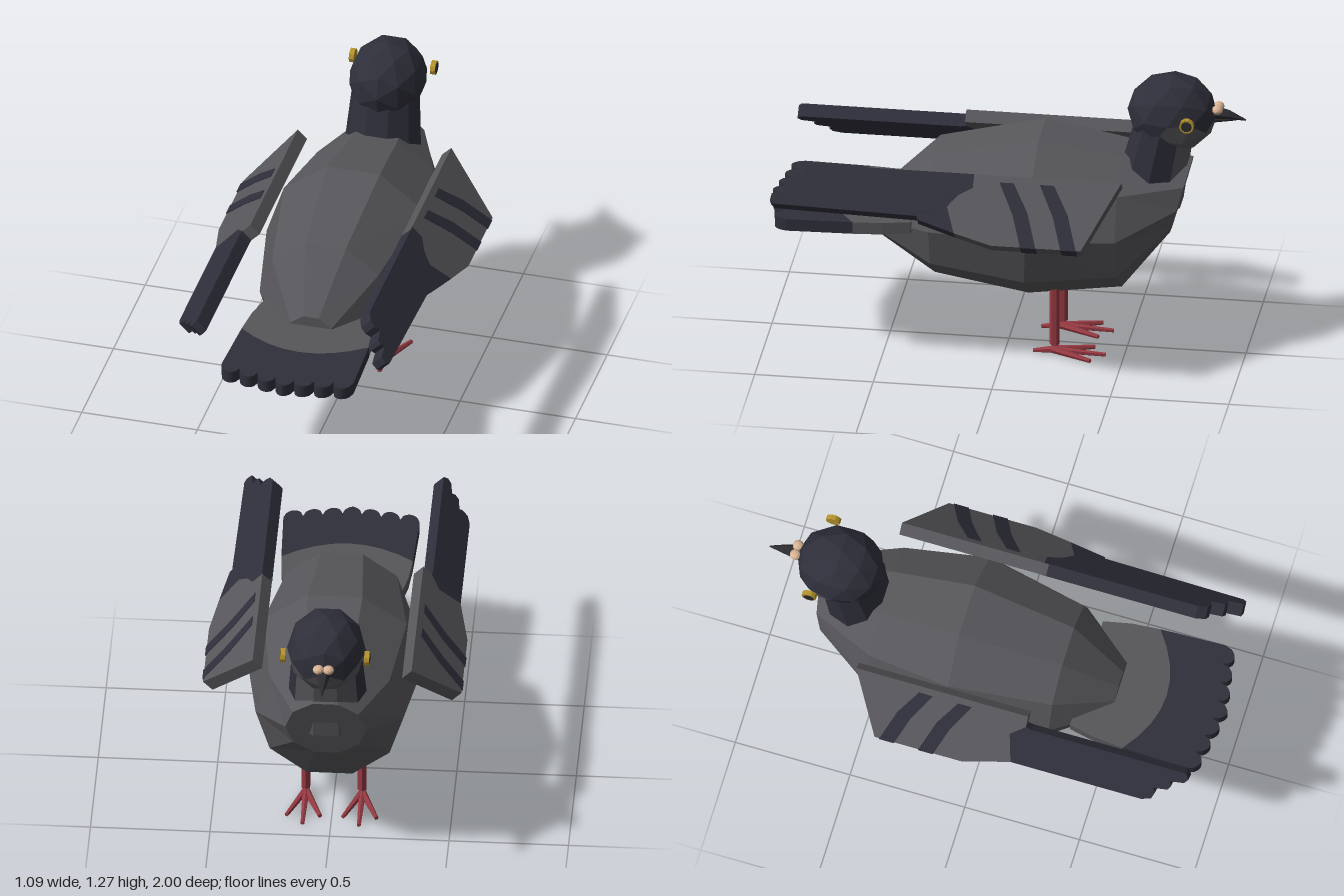
import * as THREE from 'three';

const mat = (name, color) => {
  const m = new THREE.MeshStandardMaterial({ color, flatShading: true });
  m.name = name;
  return m;
};

export function createModel() {
  const grey = mat('slate grey', 0x57565a);
  const navy = mat('dark navy', 0x2f2f3b);
  const dark = mat('charcoal', 0x2b2b30);
  const red = mat('leg red', 0x963a42);
  const yellow = mat('eye yellow', 0xb5942c);
  const cream = mat('cere cream', 0xd9b394);

  const bird = new THREE.Group();
  bird.name = 'bird';
  const add = (name, geo, material, parent = bird) => {
    const m = new THREE.Mesh(geo, material);
    m.name = name;
    parent.add(m);
    return m;
  };

  // Closed skin over elliptical rings running from -z to +z
  // ring: [z, centre y, radius x, radius y, forward lean per unit of height]
  const loft = (rings, n) => {
    const pts = rings.map(([z, cy, rx, ry, lean = 0]) => Array.from({ length: n }, (_, i) => {
      const t = (i / n) * Math.PI * 2, dy = ry * Math.sin(t);
      return [rx * Math.cos(t), cy + dy, z - lean * dy];
    }));
    const out = [];
    for (let r = 0; r < rings.length - 1; r++) {
      for (let i = 0; i < n; i++) {
        const j = (i + 1) % n;
        const a = pts[r][i], b = pts[r][j], c = pts[r + 1][j], d = pts[r + 1][i];
        out.push(...a, ...b, ...c, ...a, ...c, ...d);
      }
    }
    const first = pts[0], last = pts[pts.length - 1];
    for (let i = 1; i < n - 1; i++) {
      out.push(...first[0], ...first[i + 1], ...first[i]);
      out.push(...last[0], ...last[i], ...last[i + 1]);
    }
    const g = new THREE.BufferGeometry();
    g.setAttribute('position', new THREE.Float32BufferAttribute(out, 3));
    g.computeVertexNormals();
    return g;
  };

  // Tapered rod between two points
  const rod = (p, q, r1, r2, sides = 6) => {
    const a = new THREE.Vector3(...p), b = new THREE.Vector3(...q), d = b.clone().sub(a);
    const g = new THREE.CylinderGeometry(r2, r1, d.length(), sides);
    g.applyQuaternion(new THREE.Quaternion().setFromUnitVectors(new THREE.Vector3(0, 1, 0), d.normalize()));
    return g.translate(...a.add(b).multiplyScalar(0.5).toArray());
  };

  const slab = (points, depth) => new THREE.ExtrudeGeometry(
    new THREE.Shape(points.map(([x, y]) => new THREE.Vector2(x, y))), { depth, bevelEnabled: false });

  // Body
  add('body', loft([
    [-0.73, 0.72, 0.17, 0.16, 0.27],
    [-0.49, 0.62, 0.31, 0.315],
    [-0.12, 0.625, 0.37, 0.37, 0.06],
    [0.30, 0.605, 0.285, 0.29],
    [0.53, 0.565, 0.11, 0.11],
  ], 10), grey);

  // Neck, with a grey throat strip in front
  const neck = (name, start, length, segs, material) => {
    const g = new THREE.CylinderGeometry(0.145, 0.175, 0.39, segs, 1, true, start, length);
    const p = g.attributes.position;
    for (let i = 0; i < p.count; i++) p.setZ(i, p.getZ(i) * 0.9 - 0.21 * p.getY(i));
    add(name, g, material).position.set(0, 0.875, -0.62);
  };
  neck('neck', -0.7 * Math.PI, 1.4 * Math.PI, 7, navy);
  neck('throat', 0.7 * Math.PI, 0.6 * Math.PI, 3, grey);

  // Head, with grey cheeks and chin as material groups
  const headGeo = new THREE.IcosahedronGeometry(1, 1);
  const hp = headGeo.attributes.position;
  for (let i = 0; i < hp.count; i += 3) {
    const y = (hp.getY(i) + hp.getY(i + 1) + hp.getY(i + 2)) / 3;
    const z = (hp.getZ(i) + hp.getZ(i + 1) + hp.getZ(i + 2)) / 3;
    headGeo.addGroup(i, 3, y < -0.15 && z < 0.1 ? 1 : 0);
  }
  headGeo.scale(0.165, 0.17, 0.19);
  add('head', headGeo, [navy, grey]).position.set(0, 1.1, -0.69);

  // Beak and cere
  add('upperBeak', loft([[-1, 1.08, 0.003, 0.003], [-0.93, 1.1, 0.022, 0.018], [-0.84, 1.11, 0.04, 0.03]], 6), dark);
  add('lowerBeak', loft([[-0.96, 1.08, 0.004, 0.004], [-0.84, 1.08, 0.032, 0.02]], 6), dark);
  for (const s of [-1, 1]) {
    const cere = add('cere', new THREE.IcosahedronGeometry(0.024, 1), cream);
    cere.scale.set(1, 0.8, 1);
    cere.position.set(s * 0.021, 1.128, -0.882);
  }

  // Eyes: yellow discs with dark pupils
  for (const s of [-1, 1]) {
    add('eyeRing', rod([s * 0.165, 1.12, -0.775], [s * 0.186, 1.12, -0.775], 0.031, 0.031, 10), yellow);
    add('pupil', rod([s * 0.18, 1.12, -0.775], [s * 0.188, 1.12, -0.775], 0.023, 0.023, 10), dark);
  }

  // Legs and feet
  for (const s of [-1, 1]) {
    const leg = new THREE.Group();
    leg.name = 'leg';
    leg.position.set(s * 0.118, 0, -0.21);
    bird.add(leg);
    add('shin', rod([0, 0.045, 0], [0, 0.32, 0], 0.021, 0.021), red, leg);
    for (const [x, z] of [[0, -0.215], [-0.07, -0.16], [0.07, -0.16], [0, 0.09]]) {
      add('toe', rod([0, 0.02, 0.01], [x, 0.01, z], 0.016, 0.009), red, leg);
    }
  }

  // Tail fan: grey base and scalloped navy end
  const edge = [], band = [];
  for (let i = 0; i <= 56; i++) {
    const x = 0.285 - (0.57 * i) / 56;
    const scallop = Math.abs(Math.sin((i / 56) * Math.PI * 7));
    edge.push([x, 0.9 + 0.05 * (1 - Math.abs(x) / 0.285) + 0.045 * Math.sqrt(scallop)]);
  }
  for (let i = 0; i <= 8; i++) {
    const x = -0.275 + (0.55 * i) / 8;
    band.push([x, 0.73 - 0.11 * (x / 0.275) ** 2]);
  }
  const tail = (name, pts, m) =>
    add(name, slab(pts, 0.053).rotateX(Math.PI / 2), m).position.y = 0.625;
  tail('tailBase', [[-0.265, 0.5], [-0.24, 0.38], [0.24, 0.38], [0.265, 0.5], ...[...band].reverse()], grey);
  tail('tailEnd', [...band, ...edge], navy);

  // Wings: slanted slabs; outlines are [distance down the slope, z]
  const wing = (s, name, x0, y0, w, outline) => {
    const g = new THREE.Group();
    g.name = name;
    bird.add(g);
    const u = new THREE.Vector3(s * 0.7, -0.714, 0), v = new THREE.Vector3(0, 0, 1);
    g.matrixAutoUpdate = true;
    g.quaternion.setFromRotationMatrix(new THREE.Matrix4().makeBasis(u, v, u.clone().cross(v)));
    g.position.set(s * x0, y0, 0);
    const plate = (part, pts, m, grow = 0) => {
      const geo = slab(pts, 0.056 + 2 * grow);
      geo.translate(0, 0, (s > 0 ? 0 : -0.056) - grow);
      add(part, geo, m, g);
    };
    plate('wingCovert', outline.covert, grey);
    plate('wingRear', outline.rear, navy);
    plate('flightFeathers', outline.feathers, navy, 0.001);
    for (const z of [-0.04, -0.21]) {
      const e = w + 0.003;
      plate('wingBar', [[0.03, z - 0.03], [e * 0.5, z - 0.1], [e, z - 0.15],
        [e, z - 0.085], [e * 0.55, z - 0.04], [0.03, z + 0.03]], navy, 0.003);
    }
  };
  wing(1, 'leftWing', 0.32, 0.905, 0.31, {
    covert: [[0, -0.52], [0.31, -0.38], [0.31, 0], [0.265, 0.16], [0.15, 0.2], [0.06, 0.13], [0, 0.12]],
    rear: [[0, 0.12], [0.06, 0.13], [0.15, 0.2], [0.265, 0.16], [0.215, 0.32], [0.1, 0.34], [0, 0.2]],
    feathers: [[0, 0.1], [0.06, 0.1], [0.2, 0.32], [0.185, 0.93], [0.17, 0.945], [0.14, 0.94], [0.13, 0.87],
      [0.11, 0.88], [0.09, 0.87], [0.08, 0.81], [0.05, 0.82], [0.02, 0.81], [0, 0.77]],
  });
  wing(-1, 'rightWing', 0.345, 0.88, 0.285, {
    covert: [[0, -0.52], [0.285, -0.38], [0.285, 0], [0.225, 0.2], [0.1, 0.17], [0.05, 0.23], [0, 0.23]],
    rear: [[0.05, 0.23], [0.1, 0.17], [0.225, 0.2], [0.225, 0.32], [0.07, 0.32]],
    feathers: [[0.225, 0.2], [0.225, 0.77], [0.21, 0.81], [0.18, 0.82], [0.16, 0.81], [0.15, 0.87],
      [0.13, 0.88], [0.11, 0.87], [0.1, 0.93], [0.08, 0.945], [0.055, 0.93], [0.055, 0.25], [0.12, 0.2]],
  });

  return bird;
}
